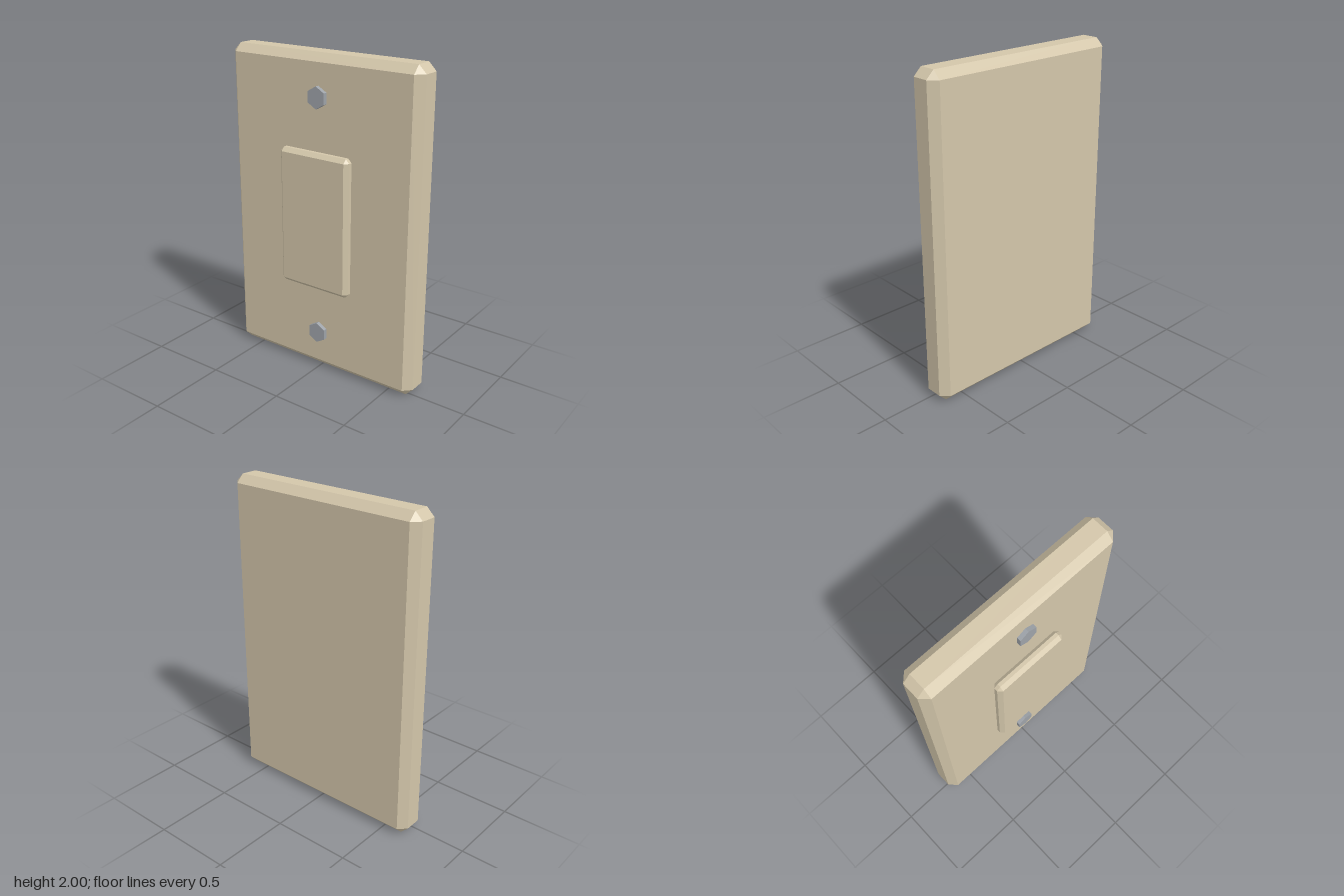
import * as THREE from 'three';
import { ConvexGeometry } from 'three/addons/geometries/ConvexGeometry.js';

// Box with flat chamfers on all edges and triangular corners
function chamferedBox(width, height, depth, bevel) {
  const half = [width / 2, height / 2, depth / 2];
  const points = [];
  for (const sx of [-1, 1]) for (const sy of [-1, 1]) for (const sz of [-1, 1]) {
    const signs = [sx, sy, sz];
    for (let axis = 0; axis < 3; axis++) {
      const p = half.map((h, i) => signs[i] * (i === axis ? h : h - bevel));
      points.push(new THREE.Vector3(...p));
    }
  }
  return new ConvexGeometry(points);
}

export function createModel() {
  const group = new THREE.Group();
  const ivory = new THREE.MeshStandardMaterial({ color: 0xd3c6aa });
  ivory.name = 'ivory plastic';
  const steel = new THREE.MeshStandardMaterial({ color: 0x9ea3a9, flatShading: true });
  steel.name = 'screw steel';

  const add = (name, geometry, material, x, y, z) => {
    const mesh = new THREE.Mesh(geometry, material);
    mesh.name = name;
    mesh.position.set(x, y, z);
    group.add(mesh);
  };

  // Wall plate
  add('wallPlate', chamferedBox(1.333, 2, 0.2, 0.048), ivory, 0, 1, -0.033);

  // Raised switch paddle
  add('switchPaddle', chamferedBox(0.494, 0.866, 0.07, 0.024), ivory, 0, 1.003, 0.098);

  // Hexagonal screw heads, points up
  const screw = new THREE.CylinderGeometry(0.066, 0.066, 0.04, 6).rotateX(Math.PI / 2);
  add('upperScrew', screw, steel, 0, 1.753, 0.073);
  add('lowerScrew', screw, steel, 0, 0.253, 0.073);

  return group;
}
